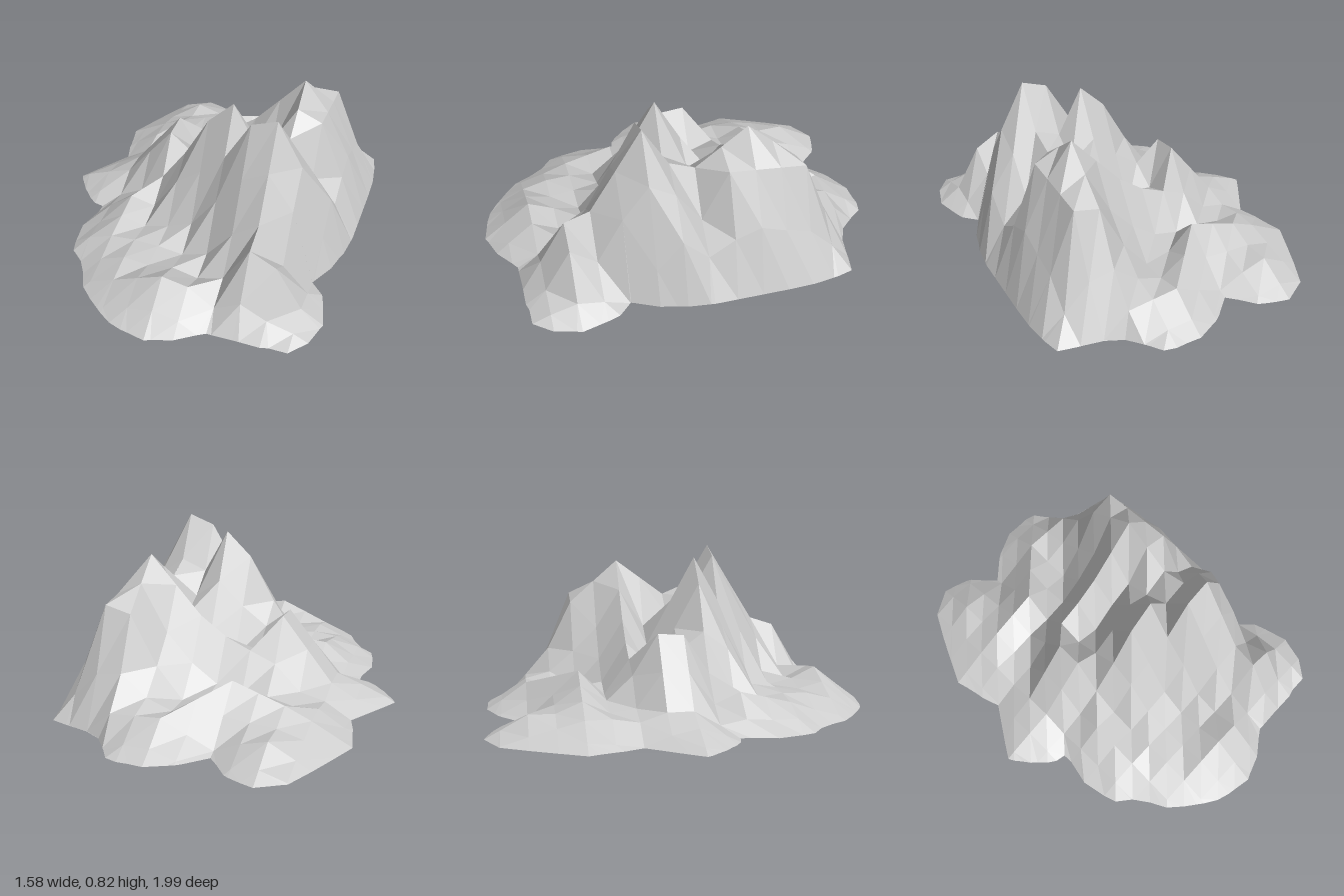
import * as THREE from 'three';

// Lobed ground outline as x, z pairs
const OUTLINE = [
  -.52, -.87, -.47, -.95, -.36, -.99, -.22, -.95, -.1, -.81, .02, -.93, .18, -1, .35, -.98,
  .43, -.84, .55, -.78, .76, -.74, .79, -.5, .78, 0, .75, .2, .66, .38, .73, .43,
  .78, .63, .74, .78, .66, .86, .28, .86, .15, .96, .02, 1, -.17, .96, -.38, .8,
  -.46, .64, -.56, .57, -.6, .35, -.54, .17, -.65, .17, -.8, 0, -.62, -.27, -.69, -.52,
];

// Ridge lines: side slope, then crest points [x, z, height]
const RIDGES = [
  { slope: 2.2, crest: [[.285, .5, .31], [.285, .245, .775], [.41, .245, .82], [.54, .22, .6]] }, // main summit
  { slope: 1.7, crest: [[.41, .245, .82], [.41, .5, .4], [.41, .63, .355], [.54, .63, .285]] },   // front knoll
  { slope: 1.8, crest: [[.155, .117, .78], [.026, .117, .655], [-.1, .06, .44], [-.23, -.01, .44], [-.52, -.02, .09]] }, // west ridge
  { slope: 1.6, crest: [[-.23, -.14, .45], [-.49, -.14, .12]] },                      // west shoulder
  { slope: 2, crest: [[.41, -.01, .55], [.41, -.27, .745], [.41, -.526, .52]] },      // north summit
  { slope: 2.4, crest: [[.54, -.14, .59], [.54, -.526, .55]] },                       // east shoulder
  { slope: 1.6, crest: [[.41, -.27, .74], [.1, -.27, .39], [-.23, -.27, .24]] },      // north-west spur
  { slope: 1, crest: [[.41, -.78, .12], [.155, -.78, .14], [-.1, -.526, .25], [-.36, -.526, .16]] }, // northern knolls
  { slope: .8, crest: [[-.23, .7, .12], [.026, .76, .185], [.155, .76, .16]] },       // front foothill
  { slope: .8, crest: [[-.36, .245, .17], [-.3, .5, .15]] },                          // west foothill
];

// Distance to a segment and the position of the nearest point along it
function toSegment(x, z, ax, az, bx, bz) {
  const dx = bx - ax, dz = bz - az;
  const t = THREE.MathUtils.clamp(((x - ax) * dx + (z - az) * dz) / (dx * dx + dz * dz), 0, 1);
  return { t, dist: Math.hypot(x - ax - t * dx, z - az - t * dz) };
}

// Signed distance to the outline, positive inside
function insideDistance(x, z) {
  let best = Infinity, inside = false;
  for (let i = 0; i < OUTLINE.length; i += 2) {
    const j = (i + 2) % OUTLINE.length;
    const [ax, az, bx, bz] = [OUTLINE[i], OUTLINE[i + 1], OUTLINE[j], OUTLINE[j + 1]];
    best = Math.min(best, toSegment(x, z, ax, az, bx, bz).dist);
    if ((az > z) !== (bz > z) && x < ax + (bx - ax) * (z - az) / (bz - az)) inside = !inside;
  }
  return inside ? best : -best;
}

// Highest ridge at a point, kept under the steepest edge slope and over a low skirt
function heightAt(x, z, d) {
  let h = 0;
  for (const { slope, crest } of RIDGES) {
    for (let i = 0; i + 1 < crest.length; i++) {
      const [ax, az, ah] = crest[i], [bx, bz, bh] = crest[i + 1];
      const { t, dist } = toSegment(x, z, ax, az, bx, bz);
      h = Math.max(h, ah + (bh - ah) * t - slope * dist);
    }
  }
  const rough = 1 + .15 * Math.sin(x * 47 + z * 31) * Math.sin(z * 53 - x * 19);
  return Math.max(Math.min(h, d * 3.5), Math.min(d * .6, .11) * rough);
}

// Keep the part of a triangle inside the outline, with cut corners on the ground
function clip(triangle) {
  const out = [];
  triangle.forEach((a, i) => {
    const b = triangle[(i + 1) % 3];
    if (a.d > 0) out.push(a.p);
    if ((a.d > 0) !== (b.d > 0)) {
      const cut = a.p.clone().lerp(b.p, a.d / (a.d - b.d));
      cut.y = 0;
      out.push(cut);
    }
  });
  return out;
}

export function createModel() {
  const group = new THREE.Group();
  group.name = 'mountain';

  // Faceted terrain on a square grid
  const step = .1285, nx = 14, nz = 18;
  const grid = [];
  for (let j = 0; j <= nz; j++) {
    grid.push([]);
    for (let i = 0; i <= nx; i++) {
      const x = .026 + (i - 7) * step, z = -.012 + (j - 9) * step;
      const d = insideDistance(x, z);
      grid[j].push({ d, p: new THREE.Vector3(x, d > 0 ? heightAt(x, z, d) : 0, z) });
    }
  }
  const points = [];
  for (let j = 0; j < nz; j++) {
    for (let i = 0; i < nx; i++) {
      const a = grid[j][i], b = grid[j][i + 1], c = grid[j + 1][i], e = grid[j + 1][i + 1];
      for (const triangle of [[a, c, b], [b, c, e]]) {
        const poly = clip(triangle);
        for (let k = 1; k + 1 < poly.length; k++) points.push(poly[0], poly[k], poly[k + 1]);
      }
    }
  }
  const geometry = new THREE.BufferGeometry().setFromPoints(points);
  geometry.computeVertexNormals();
  const material = new THREE.MeshStandardMaterial({ color: 0xcccccc, flatShading: true, side: THREE.DoubleSide });
  const terrain = new THREE.Mesh(geometry, material);
  terrain.name = 'terrain';
  group.add(terrain);
  return group;
}
